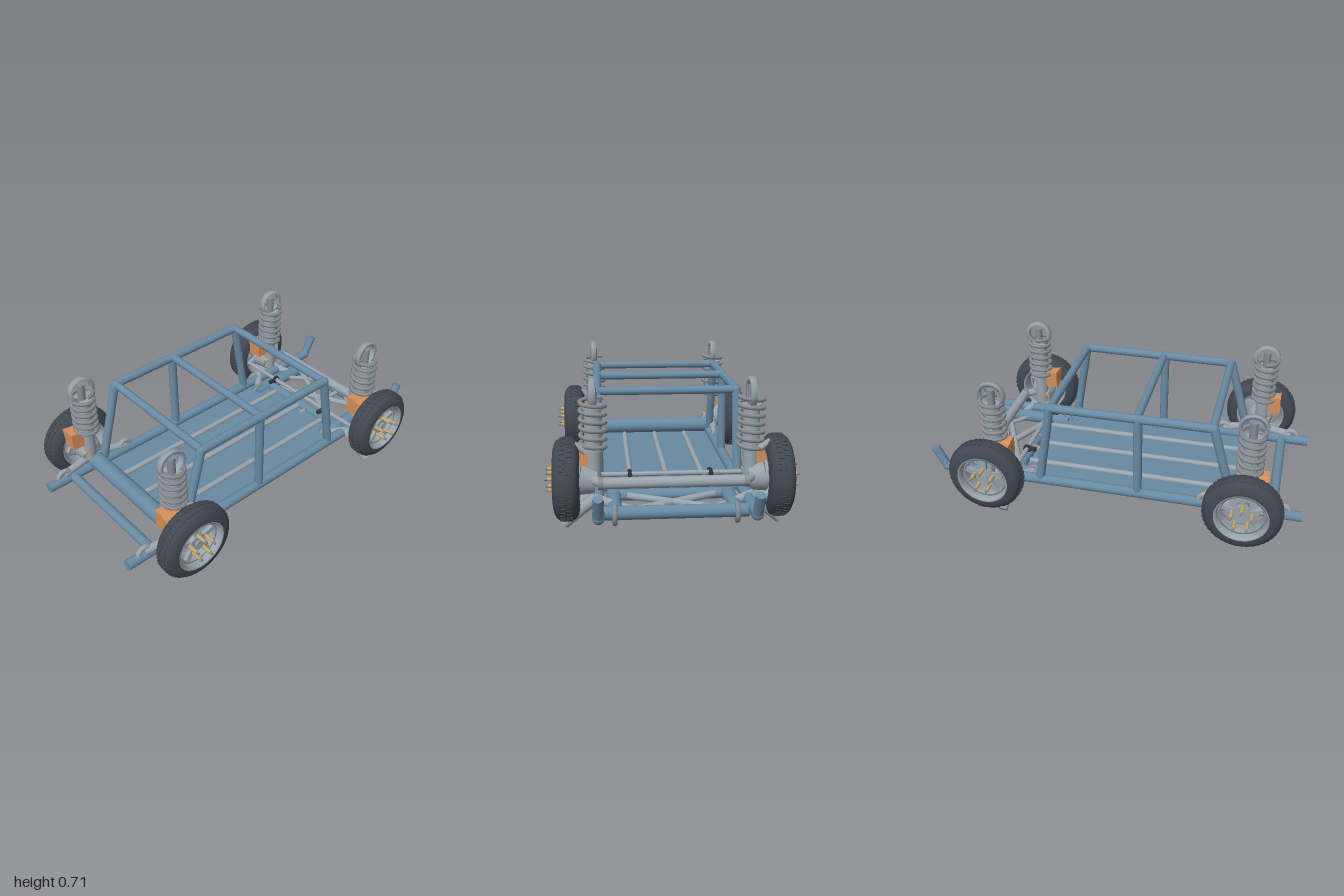
import * as THREE from 'three';

const mat = (name, color, double) => {
  const m = new THREE.MeshStandardMaterial({ color });
  m.name = name;
  if (double) m.side = THREE.DoubleSide;
  return m;
};
const blue = mat('frame blue', 0x688aa2);
const grey = mat('light steel', 0x99a3ab, true);
const steel = mat('spring steel', 0x858c92);
const rubber = mat('tyre rubber', 0x424851);
const black = mat('black rubber', 0x2f3338);
const copper = mat('caliper copper', 0xd48f5c);
const brass = mat('bolt brass', 0xc4a868);

const V = (x, y, z) => new THREE.Vector3(x, y, z);

function add(parent, name, geo, material, x = 0, y = 0, z = 0) {
  const m = new THREE.Mesh(geo, material);
  m.name = name;
  m.position.set(x, y, z);
  parent.add(m);
  return m;
}

// straight tube between two points, optionally tapered
function rod(parent, name, a, b, r, material, r2 = r) {
  const d = b.clone().sub(a);
  const m = add(parent, name, new THREE.CylinderGeometry(r2, r, d.length(), 20), material);
  m.position.copy(a).addScaledVector(d, 0.5);
  m.quaternion.setFromUnitVectors(V(0, 1, 0), d.normalize());
  return m;
}
const ball = (p, name, v, r, material) =>
  add(p, name, new THREE.SphereGeometry(r, 16, 12), material, v.x, v.y, v.z);

// ring lying in the side plane, around a crosswise tube
const clamp = (p, name, x, y, z, R, r, material) =>
  add(p, name, new THREE.TorusGeometry(R, r, 10, 28).rotateY(Math.PI / 2), material, x, y, z);

const lathe = (pts, seg = 48) =>
  new THREE.LatheGeometry(pts.map(p => new THREE.Vector2(p[0], p[1])), seg).rotateZ(-Math.PI / 2);
const disc = (r, w, seg = 32) => new THREE.CylinderGeometry(r, r, w, seg).rotateZ(-Math.PI / 2);

// wheel: axis along x, outside towards +x
function makeWheel() {
  const w = new THREE.Group();
  w.name = 'wheel';
  add(w, 'tyre', lathe([[0.126, -0.05], [0.128, -0.062], [0.145, -0.062], [0.165, -0.057], [0.182, -0.048],
    [0.192, -0.036], [0.196, -0.02], [0.197, 0], [0.196, 0.02], [0.192, 0.036], [0.182, 0.048], [0.165, 0.057],
    [0.145, 0.062], [0.128, 0.062], [0.126, 0.05], [0.126, -0.05]], 64), rubber);
  // low tread blocks in two staggered rows
  const n = 44;
  for (let i = 0; i < n; i++) {
    for (const row of [-1, 1]) {
      const t = new THREE.Group();
      t.name = 'treadBlock';
      t.rotation.x = ((i + (row > 0 ? 0.5 : 0)) / n) * Math.PI * 2;
      const b = add(t, 'tread', new THREE.BoxGeometry(0.026, 0.008, 0.016), rubber, row * 0.016, 0.196, 0);
      b.rotation.z = -row * 0.1;
      w.add(t);
    }
  }
  // rim barrel with rolled lips
  add(w, 'rimBarrel', lathe([[0.136, -0.063], [0.126, -0.063], [0.122, -0.045], [0.117, -0.02],
    [0.117, 0.02], [0.122, 0.045], [0.126, 0.063], [0.136, 0.063]]), grey);
  add(w, 'spokeRing', lathe([[0.106, 0.012], [0.118, 0.012], [0.118, 0.03], [0.106, 0.03], [0.106, 0.012]]), grey);
  add(w, 'wheelHub', disc(0.046, 0.03), grey, 0.02);
  add(w, 'hubCap', disc(0.02, 0.02), grey, 0.035);
  for (let i = 0; i < 5; i++) {
    const g = new THREE.Group();
    g.name = 'spokeAndBolt';
    g.rotation.x = (i / 5) * Math.PI * 2;
    add(g, 'spoke', new THREE.BoxGeometry(0.018, 0.08, 0.026), grey, 0.02, 0.073, 0);
    add(g, 'wheelBolt', disc(0.009, 0.055, 12), brass, 0.06, 0.053, 0);
    add(g, 'boltTip', disc(0.007, 0.016, 12), steel, 0.094, 0.053, 0);
    w.add(g);
  }
  return w;
}

// coil spring around a damper, with a mounting eye on top
class Helix extends THREE.Curve {
  getPoint(t, target = new THREE.Vector3()) {
    const a = t * Math.PI * 2 * 6.5;
    return target.set(Math.cos(a) * 0.059, 0.365 + 0.255 * t, Math.sin(a) * 0.059);
  }
}
function makeShock() {
  const s = new THREE.Group();
  s.name = 'coilShock';
  add(s, 'spring', new THREE.TubeGeometry(new Helix(), 170, 0.0105, 8), steel);
  add(s, 'damperBody', new THREE.CylinderGeometry(0.041, 0.041, 0.2, 24), grey, 0, 0.47, 0);
  add(s, 'damperFoot', new THREE.CylinderGeometry(0.036, 0.036, 0.19, 24), grey, 0, 0.285, 0);
  add(s, 'damperRod', new THREE.CylinderGeometry(0.02, 0.02, 0.11, 16), steel, 0, 0.615, 0);
  for (const y of [0.37, 0.575]) add(s, 'springSeat', new THREE.CylinderGeometry(0.05, 0.05, 0.012, 24), grey, 0, y, 0);
  add(s, 'mountingEye', lathe([[0.056, -0.014], [0.074, -0.014], [0.074, 0.014], [0.056, 0.014], [0.056, -0.014]], 36), grey, 0, 0.637, 0);
  return s;
}

// caliper block with a tapered wing reaching into the wheel
function caliper(s) {
  const pts = [[0.36, 0.295], [0.43, 0.295], [0.477, 0.34], [0.477, 0.382], [0.42, 0.385], [0.41, 0.392], [0.36, 0.392]];
  const shape = new THREE.Shape(pts.map(p => new THREE.Vector2(s * p[0], p[1])));
  return new THREE.ExtrudeGeometry(shape, { depth: 0.125, bevelEnabled: false });
}

// one suspension corner; s is the side, z0 the axle position
function makeCorner(s, z0, front) {
  const c = new THREE.Group();
  c.name = (front ? 'front' : 'rear') + (s > 0 ? 'Left' : 'Right') + 'Corner';
  const P = (x, y, z) => V(s * x, y, z0 + z);
  const wheel = makeWheel();
  wheel.position.set(s * 0.502, 0.233, z0);
  if (s < 0) wheel.rotation.y = Math.PI;
  c.add(wheel);
  const shock = makeShock();
  shock.position.set(s * 0.375, 0, z0 + 0.01);
  if (s < 0) shock.rotation.y = Math.PI;
  c.add(shock);
  add(c, 'brakeDisc', disc(0.072, 0.014, 40), grey, s * 0.445, 0.233, z0);
  rod(c, 'hubCarrier', P(0.365, 0.22, 0), P(0.44, 0.23, 0), 0.058, grey, 0.075);
  rod(c, 'stubAxle', P(0.43, 0.233, 0), P(0.52, 0.233, 0), 0.03, steel);
  add(c, 'brakeCaliper', caliper(s), copper, 0, 0, z0 - 0.015);
  rod(c, 'brassPin', P(0.34, 0.25, 0.05), P(0.372, 0.25, 0.05), 0.009, brass);
  rod(c, 'upperLink', P(0.41, 0.37, -0.03), P(0.462, 0.41, -0.03), 0.015, grey);
  // lower wishbone
  if (front) {
    for (const dz of [0.19, -0.2]) {
      rod(c, 'wishboneArm', P(0.36, 0.168, dz), P(0.385, 0.185, dz * 0.1), 0.022, grey);
      clamp(c, 'wishboneEye', s * 0.358, 0.16, z0 + dz, 0.035, 0.014, grey);
    }
  } else {
    for (const dz of [0.075, -0.035]) {
      rod(c, 'lowerArm', P(0.36, 0.155, dz * 1.3), P(0.518, 0.027, dz), 0.028, grey);
      rod(c, 'lowerArmRoot', P(0.28, 0.13, dz * 2.5), P(0.37, 0.15, dz * 1.3), 0.022, grey);
    }
  }
  return c;
}

export function createModel() {
  const model = new THREE.Group();
  model.name = 'rollingChassis';
  const RX = 0.355, RY = 0.14, TOP = 0.592, R = 0.027, CR = 0.023;

  // main rails, tail kick-ups and roll cage sides
  const frame = new THREE.Group();
  frame.name = 'frame';
  model.add(frame);
  for (const s of [-1, 1]) {
    const x = s * RX;
    rod(frame, 'mainRail', V(x, RY, 1), V(x, RY, -0.925), R, blue);
    ball(frame, 'railBend', V(x, RY, -0.925), R, blue);
    rod(frame, 'tailKick', V(x, RY, -0.925), V(x, 0.25, -0.982), 0.024, blue);
    const A = V(x, TOP, 0.53), B = V(x, TOP, -0.312);
    rod(frame, 'cageTopRail', A, B, CR, blue);
    rod(frame, 'frontPost', V(x, RY, 0.655), A, CR, blue);
    rod(frame, 'middlePost', V(x, RY, 0.15), V(x, TOP, 0.15), CR, blue);
    rod(frame, 'rearPost', V(x, RY, -0.385), B, CR, blue);
    ball(frame, 'cageCorner', A, CR, blue);
    ball(frame, 'cageCorner', B, CR, blue);
    rod(frame, 'subframeRail', V(s * 0.28, 0.12, -0.82), V(s * 0.28, 0.12, -0.42), 0.035, blue);
  }
  const cross = (name, y, z, half, r) => rod(frame, name, V(-half, y, z), V(half, y, z), r, blue);
  for (const z of [0.525, 0.143, -0.31]) cross('cageCrossbar', TOP, z, RX, CR - 0.002);
  cross('frontCrossbar', RY, 0.85, RX, 0.026);
  cross('frontBeam', 0.17, 0.70, RX, 0.045);
  cross('rearCrossbar', 0.125, -0.815, 0.335, 0.032);
  cross('subframeCrossbar', 0.118, -0.54, 0.28, 0.028);

  // floor panel with ribs
  add(model, 'floorPanel', new THREE.BoxGeometry(0.69, 0.014, 1.19), blue, 0, 0.12, 0.095);
  for (const x of [-0.19, 0, 0.19]) rod(model, 'floorRib', V(x, 0.132, 0.63), V(x, 0.132, -0.5), 0.015, grey);
  for (const z of [0.35, 0.05, -0.25]) rod(model, 'underfloorRib', V(-0.34, 0.117, z), V(0.34, 0.117, z), 0.008, blue);

  // rear axle tube, steering rod and bracing
  const rear = new THREE.Group();
  rear.name = 'rearRunningGear';
  model.add(rear);
  rod(rear, 'axleTube', V(-0.33, 0.235, -0.715), V(0.33, 0.235, -0.715), 0.027, grey);
  rod(rear, 'tieRod', V(-0.44, 0.215, -0.51), V(0.44, 0.215, -0.51), 0.012, grey);
  for (const s of [-1, 1]) {
    rod(rear, 'axleCollar', V(s * 0.33, 0.235, -0.715), V(s * 0.355, 0.235, -0.715), 0.03, steel);
    rod(rear, 'axleBracket', V(s * 0.34, 0.235, -0.715), V(s * 0.4, 0.24, -0.63), 0.022, grey);
    rod(rear, 'tieRodEnd', V(s * 0.44, 0.215, -0.51), V(s * 0.45, 0.225, -0.6), 0.014, grey);
    rod(rear, 'rodBushing', V(s * 0.2, 0.215, -0.53), V(s * 0.2, 0.215, -0.46), 0.012, black);
    clamp(rear, 'rodClamp', s * 0.2, 0.215, -0.51, 0.015, 0.009, black);
    rod(rear, 'diagonalBrace', V(s * 0.25, 0.12, -0.79), V(-s * 0.21, 0.12, -0.56), 0.017, grey);
    rod(rear, 'cornerBrace', V(s * 0.12, 0.12, -0.8), V(s * 0.26, 0.12, -0.68), 0.012, grey);
    rod(rear, 'braceLink', V(s * 0.055, 0.12, -0.81), V(s * 0.055, 0.12, -0.72), 0.013, grey);
    for (const z of [-0.82, -0.445]) clamp(rear, 'subframeClamp', s * 0.28, 0.118, z, 0.039, 0.012, steel);
    clamp(rear, 'linkClamp', s * 0.055, 0.108, -0.525, 0.03, 0.012, steel);
    rod(rear, 'linkStub', V(s * 0.055, 0.125, -0.52), V(s * 0.055, 0.125, -0.465), 0.013, grey);
  }

  for (const s of [-1, 1]) {
    model.add(makeCorner(s, 0.71, true));
    model.add(makeCorner(s, -0.625, false));
  }
  return model;
}
